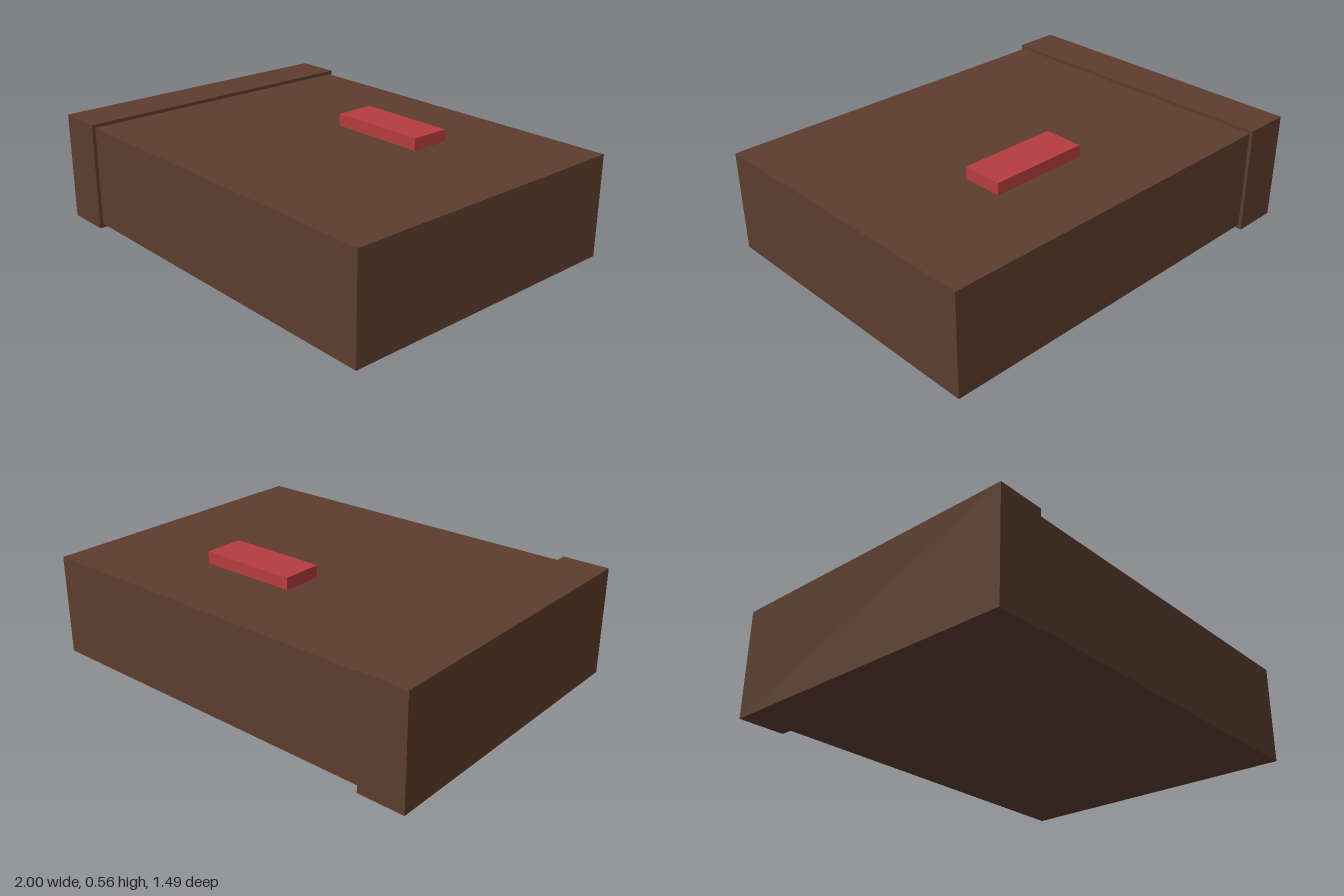
import * as THREE from 'three';

export function createModel() {
  const model = new THREE.Group();
  model.name = 'box';

  const brown = new THREE.MeshStandardMaterial({ color: 0x5c3d2e });
  brown.name = 'brown';
  const red = new THREE.MeshStandardMaterial({ color: 0xb53c3e });
  red.name = 'red';

  // Box given by its lowest and highest corners
  function addBox(name, material, [x0, y0, z0], [x1, y1, z1]) {
    const mesh = new THREE.Mesh(new THREE.BoxGeometry(x1 - x0, y1 - y0, z1 - z0), material);
    mesh.position.set((x0 + x1) / 2, (y0 + y1) / 2, (z0 + z1) / 2);
    mesh.name = name;
    model.add(mesh);
  }

  // Main block and the slightly larger cap over its right end
  addBox('body', brown, [-0.775, 0.02, -0.728], [1, 0.503, 0.728]);
  addBox('endCap', brown, [-1, 0, -0.745], [-0.775, 0.52, 0.745]);

  // Raised label on the top
  addBox('topLabel', red, [-0.055, 0.503, -0.342], [0.43, 0.56, -0.148]);

  return model;
}
